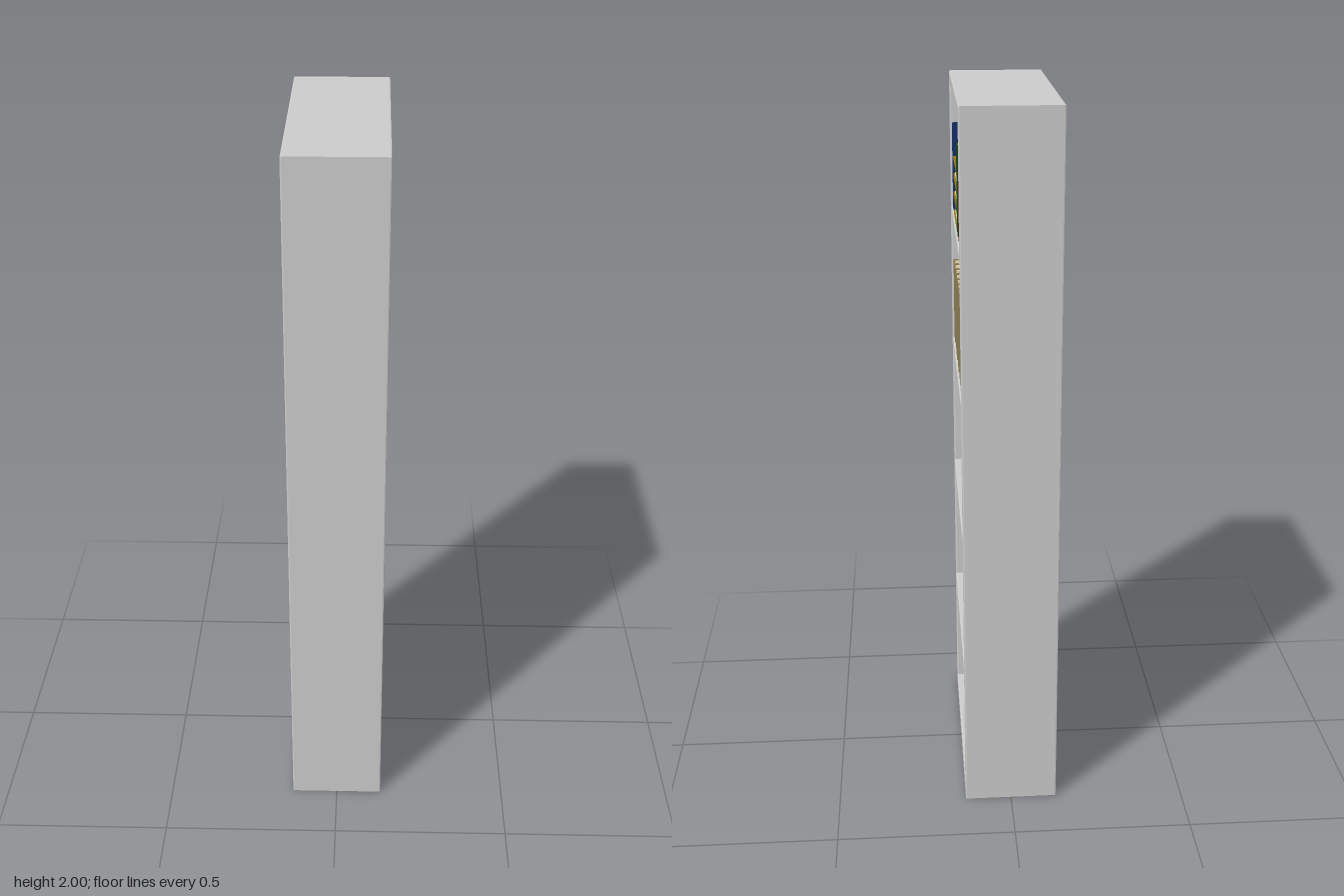
import * as THREE from 'three';

const CREAM = 0xe6d3a1, BLUE = 0x0c2a66, GOLD = 0x94741f, GREEN = 0x0f4d14, RED = 0x6e1a20, KHAKI = 0x8f8058;
const DEPTH = 0.255, COVER = 0.005;

const mat = (color) => new THREE.MeshStandardMaterial({ color });

// Extrudes an (x, z) outline upwards, standing on y = 0
function upright(shape, height, material, name) {
  const g = new THREE.ExtrudeGeometry(shape, { depth: height, bevelEnabled: false, curveSegments: 8 });
  g.rotateX(-Math.PI / 2);
  const mesh = new THREE.Mesh(g, material);
  mesh.name = name;
  return mesh;
}

// Book with its spine towards -x: wrapped cover and a page block with a hollow fore-edge
function makeBook(name, color, t, h) {
  const x = DEPTH / 2, r = t / 2, q = r - COVER, bulge = 0.007;
  const cover = new THREE.Shape();
  cover.moveTo(x, r);
  cover.lineTo(-x + bulge, r);
  cover.quadraticCurveTo(-x - bulge, 0, -x + bulge, -r);
  cover.lineTo(x, -r);
  cover.lineTo(x, -q);
  cover.lineTo(-x + bulge + COVER, -q);
  cover.quadraticCurveTo(-x - bulge + COVER, 0, -x + bulge + COVER, q);
  cover.lineTo(x, q);
  cover.closePath();

  const pages = new THREE.Shape();
  pages.moveTo(x - 0.004, q);
  pages.lineTo(-x + bulge + COVER, q);
  pages.quadraticCurveTo(-x - bulge + COVER, 0, -x + bulge + COVER, -q);
  pages.lineTo(x - 0.004, -q);
  pages.quadraticCurveTo(x - 0.02, 0, x - 0.004, q);

  const book = new THREE.Group();
  book.name = name;
  const block = upright(pages, h - 0.006, mat(CREAM), 'pages');
  block.position.y = 0.003;
  book.add(upright(cover, h, mat(color), 'cover'), block);
  return book;
}

// Closed rectangle path in the (z, y) face of the case
function rect(path, w, y0, y1) {
  path.moveTo(-w, y0);
  path.lineTo(w, y0);
  path.lineTo(w, y1);
  path.lineTo(-w, y1);
  path.closePath();
  return path;
}

export function createModel() {
  const model = new THREE.Group();
  model.name = 'bookcase';

  // Case: frame and shelves with five bays open on both faces, lightly bevelled
  const face = rect(new THREE.Shape(), 0.335, 0, 2);
  const bays = [[0.036, 0.392], [0.415, 0.792], [0.815, 1.193], [1.216, 1.595], [1.618, 1.966]];
  for (const [y0, y1] of bays) face.holes.push(rect(new THREE.Path(), 0.302, y0, y1));
  const b = 0.004, width = 0.265;
  const caseGeo = new THREE.ExtrudeGeometry(face, {
    depth: width - 2 * b, bevelThickness: b, bevelSize: b, bevelOffset: -b, bevelSegments: 2,
  });
  caseGeo.translate(0, 0, -width / 2 + b).rotateY(Math.PI / 2);
  const frame = new THREE.Mesh(caseGeo, mat(0xcccccc));
  frame.name = 'frameAndShelves';
  model.add(frame);

  // Row of upright books, running from z = start towards -z
  const addRow = (name, count, color, t, h, start, y) => {
    for (let i = 0; i < count; i++) {
      const book = makeBook(name + (i + 1), color, t - 0.0008, h);
      book.position.set(0, y, start - (i + 0.5) * t);
      model.add(book);
    }
  };
  addRow('khakiBook', 11, KHAKI, 0.0542, 0.242, 0.301, 1.216);
  addRow('greenBook', 2, GREEN, 0.053, 0.242, -0.025, 1.618);
  addRow('redBook', 3, RED, 0.0548, 0.184, -0.131, 1.618);

  // Three books lying flat
  for (let i = 0; i < 3; i++) {
    const book = makeBook('flatBook' + (i + 1), GOLD, 0.0522, 0.245);
    book.rotation.x = -Math.PI / 2;
    book.position.set(0, 1.618 + (i + 0.5) * 0.053, 0.222);
    model.add(book);
  }

  // Leaning book
  const leaning = makeBook('leaningBook', BLUE, 0.05, 0.243);
  leaning.rotation.x = 0.085;
  leaning.position.set(0, 1.62, 0.249);
  model.add(leaning);

  return model;
}
